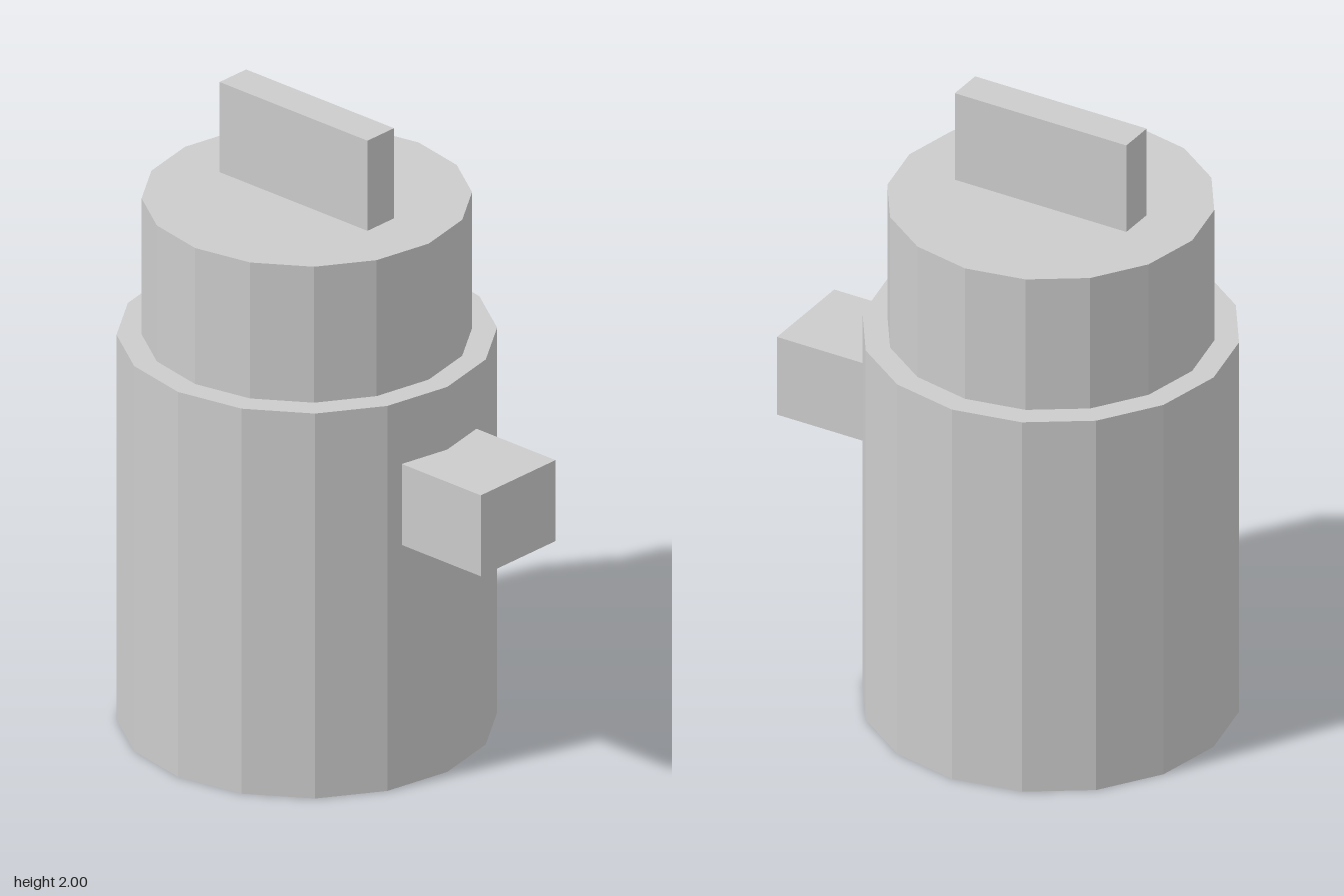
import * as THREE from 'three';

export function createModel() {
  const model = new THREE.Group();
  model.name = 'valveBody';
  const grey = new THREE.MeshStandardMaterial({ color: 0xcccccc, flatShading: true });
  grey.name = 'light grey';

  const axisZ = -0.142; // shared axis of the two drums

  const add = (name, geometry, y, z) => {
    const mesh = new THREE.Mesh(geometry, grey);
    mesh.name = name;
    mesh.position.set(0, y, z);
    model.add(mesh);
  };
  // Parts given by their bottom and top heights
  const drum = (name, radius, y0, y1) =>
    add(name, new THREE.CylinderGeometry(radius, radius, y1 - y0, 16), (y0 + y1) / 2, axisZ);
  const block = (name, width, y0, y1, z0, z1) =>
    add(name, new THREE.BoxGeometry(width, y1 - y0, z1 - z0), (y0 + y1) / 2, (z0 + z1) / 2);

  // Wide lower drum with a narrower cap
  drum('body', 0.562, 0, 1.26);
  drum('cap', 0.488, 1.26, 1.705);

  // Upright fin on the cap
  block('handle', 0.116, 1.705, 2, -0.438, 0.154);

  // Stub on the front, sunk slightly into the body
  block('frontStub', 0.326, 0.79, 1.055, 0.37, 0.704);

  return model;
}
